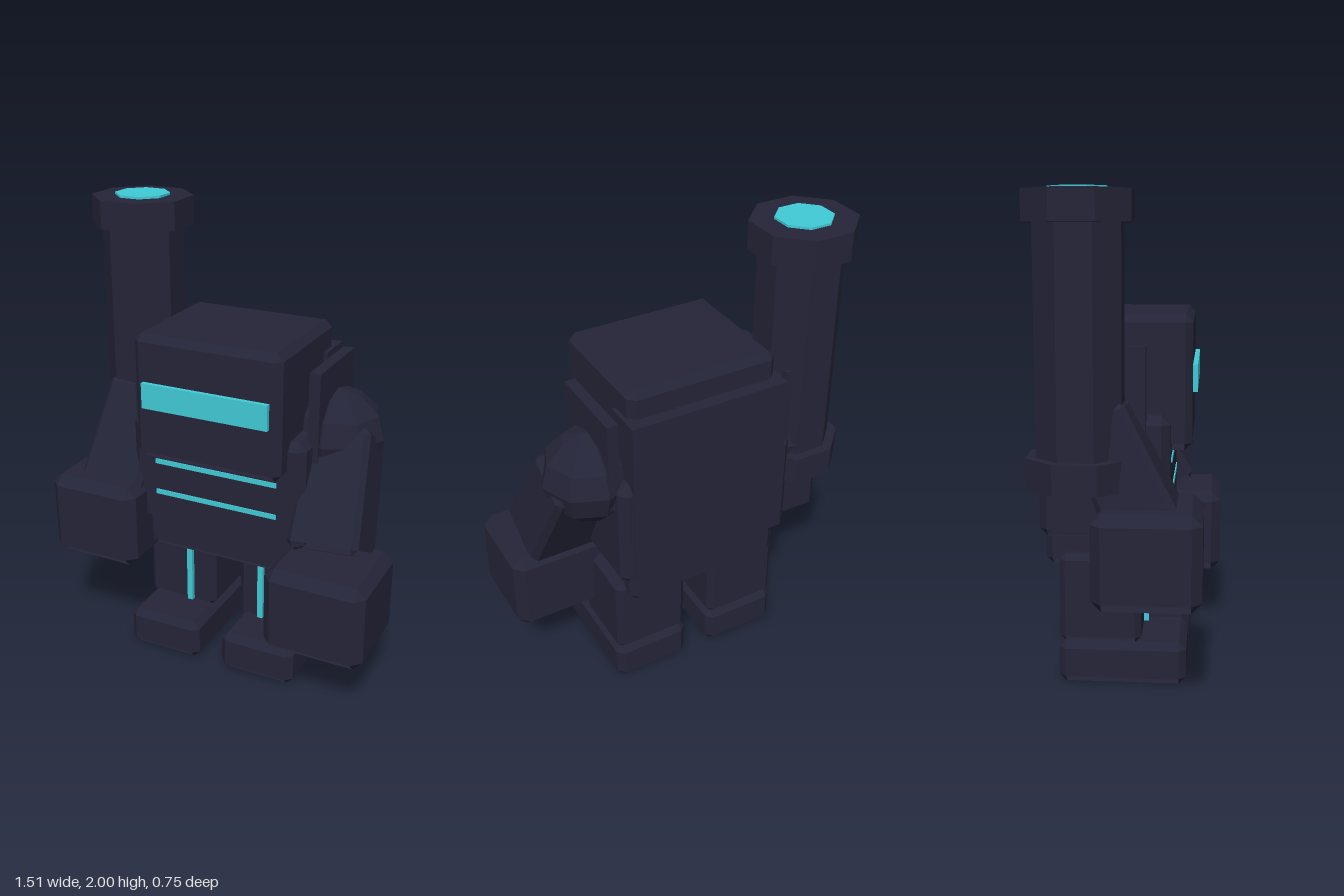
import * as THREE from 'three';

// Box with chamfered edges; its underside is a recessed plate with an open slot on each side.
// taper scales the top relative to the bottom.
function chamferBox(w, h, d, c, taper = 1) {
  const corners = [[1, 1], [-1, 1], [-1, -1], [1, -1]];
  const ring = (y, inset, k) => corners.flatMap(([sx, sz], i) => {
    const a = [sx * (w / 2 - inset) * k, y, sz * (d / 2 - c) * k];
    const b = [sx * (w / 2 - c) * k, y, sz * (d / 2 - inset) * k];
    return i % 2 ? [b, a] : [a, b];
  });
  const rings = [
    ring(-h / 2, c, 1), ring(-h / 2 + c, 0, 1),
    ring(h / 2 - c, 0, taper), ring(h / 2, c, taper),
  ];
  const pos = [];
  const tri = (...pts) => pts.forEach((p) => pos.push(...p));
  for (let r = 0; r < 3; r++) {
    for (let i = 0; i < 8; i++) {
      const j = (i + 1) % 8, lo = rings[r], hi = rings[r + 1];
      const corner = i % 2 === 0;
      if (r === 0 && !corner) continue;
      if (!(r === 2 && corner)) tri(lo[i], hi[i], hi[j]);
      else tri(lo[i], hi[i], lo[j]);
      if (r === 1 || (r === 2 && !corner)) tri(lo[i], hi[j], lo[j]);
    }
  }
  const [b, t] = [rings[0], rings[3]];
  tri(t[0], t[4], t[2]); tri(t[0], t[6], t[4]);
  tri(b[0], b[2], b[4]); tri(b[0], b[4], b[6]);
  const g = new THREE.BufferGeometry();
  g.setAttribute('position', new THREE.Float32BufferAttribute(pos, 3));
  g.computeVertexNormals();
  return g;
}

export function createModel() {
  const model = new THREE.Group();
  model.name = 'robot';
  const armour = new THREE.MeshStandardMaterial({ color: 0x242438, side: THREE.DoubleSide, flatShading: true });
  armour.name = 'dark armour';
  const glow = new THREE.MeshStandardMaterial({ color: 0x40cad6, flatShading: true });
  glow.name = 'cyan light';

  const add = (name, geo, mat, x, y, z) => {
    const m = new THREE.Mesh(geo, mat);
    m.name = name;
    m.position.set(x, y, z);
    model.add(m);
    return m;
  };
  // Parts given by their extents [min, max] on each axis
  const mid = (r) => (r[0] + r[1]) / 2, len = (r) => r[1] - r[0];
  const block = (name, x, y, z, c) =>
    add(name, chamferBox(len(x), len(y), len(z), c), armour, mid(x), mid(y), mid(z));
  const plate = (name, mat, x, y, z) =>
    add(name, new THREE.BoxGeometry(len(x), len(y), len(z)), mat, mid(x), mid(y), mid(z));

  // Head and body
  block('head', [-0.33, 0.335], [0.97, 1.515], [-0.315, 0.25], 0.03);
  block('torso', [-0.4, 0.405], [0.62, 1.12], [-0.365, 0.165], 0.035);
  plate('backPlate', armour, [-0.35, 0.353], [0.66, 1.4], [-0.37, -0.2]);
  block('pelvis', [-0.35, 0.355], [0.49, 0.68], [-0.345, 0.14], 0.03);

  // Lights on face and chest
  plate('visor', glow, [-0.28, 0.29], [1.205, 1.315], [0.245, 0.27]);
  for (const y of [0.925, 0.78]) {
    plate('chestStripe', glow, [-0.28, 0.29], [y - 0.011, y + 0.011], [0.16, 0.17]);
  }

  // Legs, feet and shoulder fins
  for (const s of [-1, 1]) {
    const span = (a, b) => (s > 0 ? [a, b] : [-b, -a]);
    block('leg', span(0.063, 0.397), [0.175, 0.55], [-0.285, 0.05], 0.025);
    block('foot', span(0.057, 0.403), [0, 0.18], [-0.29, 0.235], 0.03);
    plate('legStripe', glow, span(0.164, 0.19), [0.2, 0.52], [0.045, 0.07]);
    plate('shoulderFin', armour, span(0.382, 0.43), [1.0, 1.4], [-0.31, 0.07]);
  }

  // Arms: the right one is held higher than the left
  const arms = [
    { s: 1, ball: [0.44, 1.08, -0.135], arm: [0.5, 0.875, -0.005], tilt: 0.5, x: [0.315, 0.755], y: [0.26, 0.64], z: [-0.045, 0.373] },
    { s: -1, ball: [-0.44, 1.03, -0.135], arm: [-0.49, 0.92, -0.01], tilt: 0.44, x: [-0.757, -0.333], y: [0.43, 0.81], z: [-0.12, 0.302] },
  ];
  for (const a of arms) {
    add('shoulder', new THREE.SphereGeometry(0.2, 8, 6), armour, ...a.ball);
    const fore = add('forearm', chamferBox(0.31, 0.52, 0.29, 0.025, 0.87), armour, ...a.arm);
    fore.rotation.set(-a.tilt, 0, a.s * 0.07);
    block('fist', a.x, a.y, a.z, 0.042);
  }

  // Shoulder cannon, octagonal with flat sides facing the axes
  const octagon = (name, mat, half, y0, y1) => {
    const r = half / Math.cos(Math.PI / 8);
    const g = new THREE.CylinderGeometry(r, r, y1 - y0, 8).rotateY(Math.PI / 8);
    add(name, g, mat, -0.51, (y0 + y1) / 2, -0.175);
  };
  octagon('cannonBarrel', armour, 0.165, 0.9, 1.95);
  octagon('cannonMuzzleRing', armour, 0.203, 1.87, 1.99);
  octagon('cannonBaseRing', armour, 0.203, 0.87, 0.99);
  octagon('muzzleLight', glow, 0.11, 1.985, 2.0);
  octagon('exhaustLight', glow, 0.11, 0.86, 0.875);

  return model;
}
